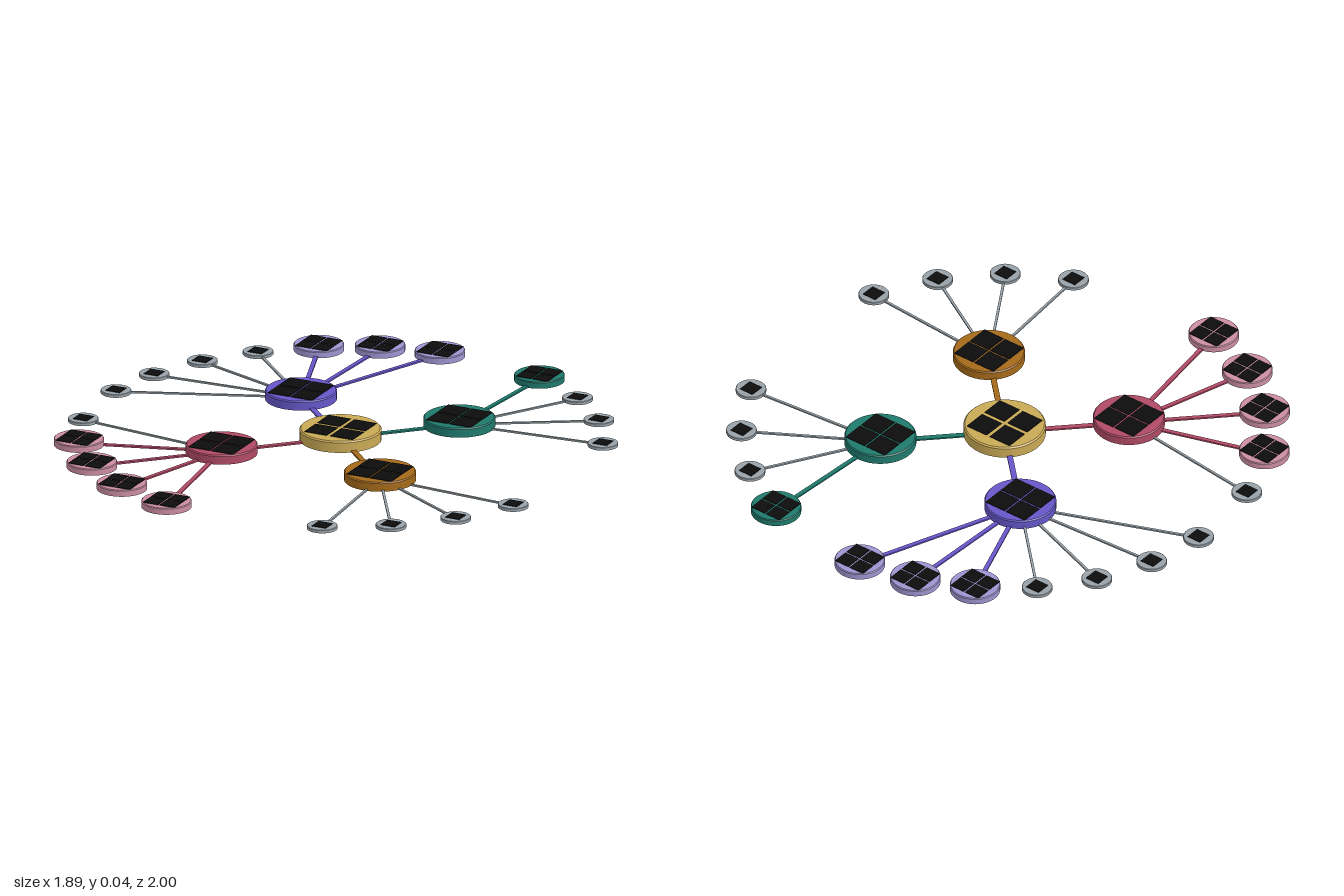
import * as THREE from 'three';

const mat = (name, color) => Object.assign(new THREE.MeshStandardMaterial({ color }), { name });
const M = {
  gold: mat('gold', 0xc9a955),
  violet: mat('violet', 0x6656c8),
  teal: mat('teal', 0x1f7a6d),
  crimson: mat('crimson', 0xb04a66),
  amber: mat('amber', 0xa56a1a),
  lavender: mat('lavender', 0x9d94d0),
  pink: mat('pink', 0xcc8ea2),
  grey: mat('grey', 0x98a2a9),
  black: mat('black', 0x0c0c0c),
};

// Disc sizes: radius, height, width of the tiled square, gap between tiles
const SIZE = {
  centre: { r: 0.145, h: 0.042, w: 0.19, gap: 0.014 },
  hub: { r: 0.127, h: 0.034, w: 0.175, gap: 0.006 },
  large: { r: 0.089, h: 0.024, w: 0.124, gap: 0.006 },
  small: { r: 0.054, h: 0.012, w: 0.055, gap: 0 },
};

const CENTRE = [0.031, 0.01];

// Each branch: hub position, colour, large leaf colour, leaf positions
const BRANCHES = [
  { name: 'violet', at: [-0.281, -0.302], color: M.violet, leaf: M.lavender,
    large: [[-0.45, -0.78], [-0.255, -0.872], [-0.04, -0.914]],
    small: [[-0.622, -0.645], [-0.756, -0.475], [-0.847, -0.277], [-0.89, -0.063]] },
  { name: 'teal', at: [0.343, -0.302], color: M.teal, leaf: M.teal,
    large: [[0.386, -0.846]],
    small: [[0.597, -0.724], [0.766, -0.555], [0.888, -0.343]] },
  { name: 'crimson', at: [-0.281, 0.322], color: M.crimson, leaf: M.pink,
    large: [[-0.768, 0.472], [-0.622, 0.662], [-0.43, 0.81], [-0.206, 0.906]],
    small: [[-0.862, 0.25]] },
  { name: 'amber', at: [0.343, 0.322], color: M.amber, leaf: null,
    large: [],
    small: [[0.888, 0.363], [0.766, 0.572], [0.597, 0.743], [0.386, 0.863]] },
];

function mesh(parent, geometry, material, name) {
  const m = new THREE.Mesh(geometry, material);
  m.name = name;
  parent.add(m);
  return m;
}

// Round node with a narrow chamfered rim and dark square tiles on top
function node(parent, [x, z], { r, h, w, gap }, material, name) {
  const g = new THREE.Group();
  g.name = name;
  g.position.set(x, 0, z);
  parent.add(g);

  const c = h * 0.12;
  const wall = new THREE.CylinderGeometry(r, r, h - c, 48, 1, true).translate(0, (h - c) / 2, 0);
  mesh(g, wall, material, 'discWall');
  const rim = new THREE.CylinderGeometry(r - c, r, c, 48, 1, true).translate(0, h - c / 2, 0);
  mesh(g, rim, material, 'discRim');
  mesh(g, new THREE.CircleGeometry(r - c, 48).rotateX(-Math.PI / 2).translate(0, h, 0), material, 'discTop');
  mesh(g, new THREE.CircleGeometry(r, 48).rotateX(Math.PI / 2), material, 'discBottom');

  // One tile on small nodes, a two by two set on the others
  const n = gap ? 2 : 1;
  const side = (w - gap * (n - 1)) / n;
  for (let i = 0; i < n; i++) {
    for (let j = 0; j < n; j++) {
      const tile = mesh(g, new THREE.BoxGeometry(side, 0.002, side), M.black, 'tile');
      const off = (k) => (k - (n - 1) / 2) * (side + gap);
      tile.position.set(off(i), h + 0.001, off(j));
    }
  }
}

// Flat bar along the ground between two node centres
function link(parent, a, b, width, material, name) {
  const dx = b[0] - a[0], dz = b[1] - a[1];
  const bar = mesh(parent, new THREE.BoxGeometry(Math.hypot(dx, dz), 0.006, width), material, name);
  bar.position.set((a[0] + b[0]) / 2, 0.004, (a[1] + b[1]) / 2);
  bar.rotation.y = -Math.atan2(dz, dx);
}

export function createModel() {
  const model = new THREE.Group();
  model.name = 'nodeNetwork';
  node(model, CENTRE, SIZE.centre, M.gold, 'centreNode');

  for (const b of BRANCHES) {
    const branch = new THREE.Group();
    branch.name = b.name + 'Branch';
    model.add(branch);
    link(branch, CENTRE, b.at, 0.02, b.color, 'hubLink');
    node(branch, b.at, SIZE.hub, b.color, 'hubNode');
    for (const p of b.large) {
      link(branch, b.at, p, 0.016, b.color, 'largeLeafLink');
      node(branch, p, SIZE.large, b.leaf, 'largeLeafNode');
    }
    for (const p of b.small) {
      link(branch, b.at, p, 0.009, M.grey, 'smallLeafLink');
      node(branch, p, SIZE.small, M.grey, 'smallLeafNode');
    }
  }
  return model;
}
